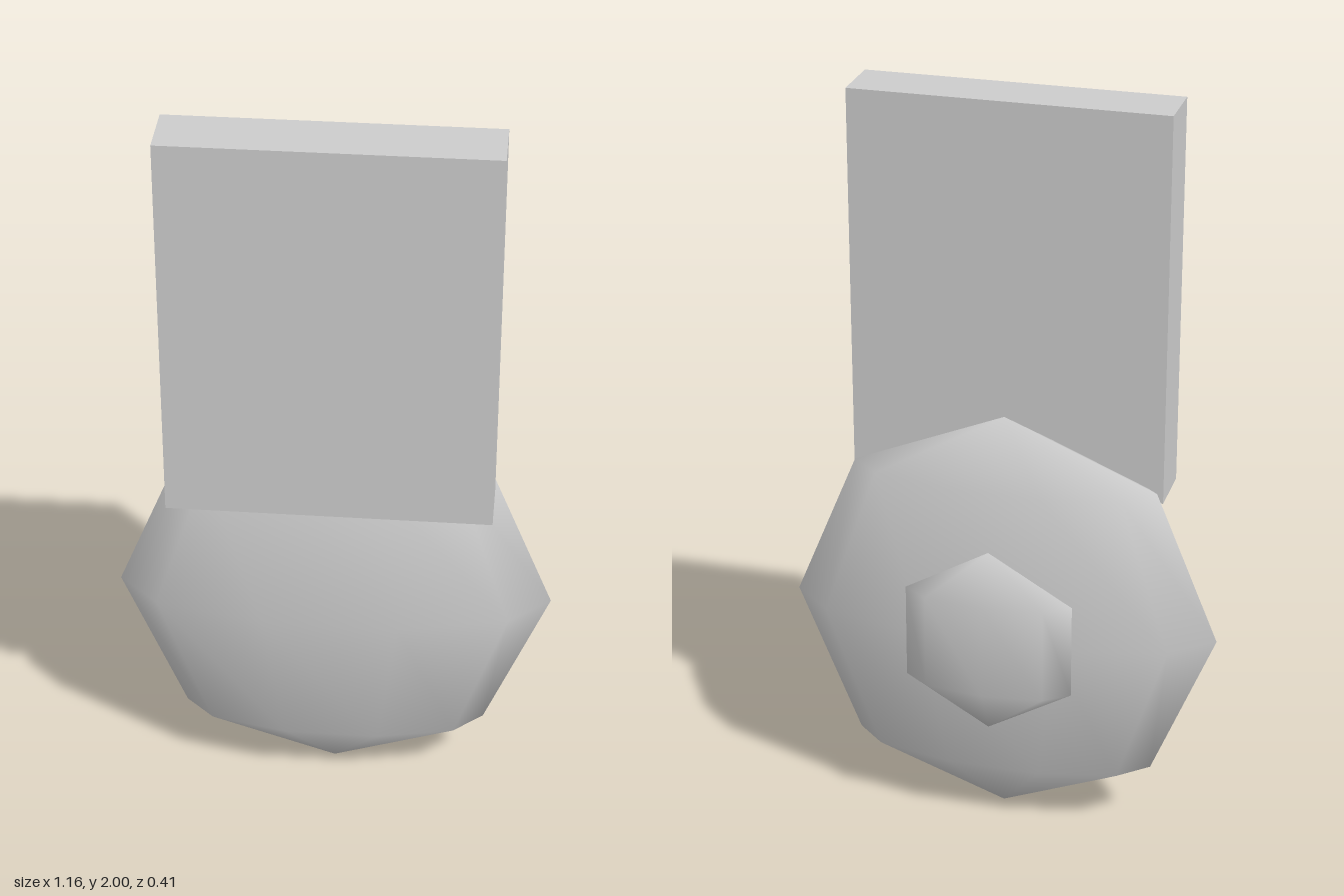
import * as THREE from 'three';

export function createModel() {
  const model = new THREE.Group();
  const grey = new THREE.MeshStandardMaterial({ color: 0xcccccc });
  grey.name = 'light grey';

  function add(name, geometry, x, y, z) {
    const mesh = new THREE.Mesh(geometry, grey);
    mesh.name = name;
    mesh.position.set(x, y, z);
    model.add(mesh);
    return mesh;
  }

  // Coarse sphere with upright poles, squashed front to back
  function flatSphere(name, radius, depth, around, rings, y, z) {
    const geometry = new THREE.SphereGeometry(1, around, rings);
    geometry.scale(radius, radius, depth);
    return add(name, geometry, 0, y, z);
  }

  // Upright slab standing at the front
  add('slab', new THREE.BoxGeometry(0.84, 1.05, 0.158), 0, 1.475, 0.125);

  // Large lens-shaped body and the small boss on its back
  flatSphere('disc', 0.579, 0.172, 10, 4, 0.579, 0.02);
  flatSphere('backBoss', 0.26, 0.078, 8, 3, 0.58, -0.137);

  return model;
}
